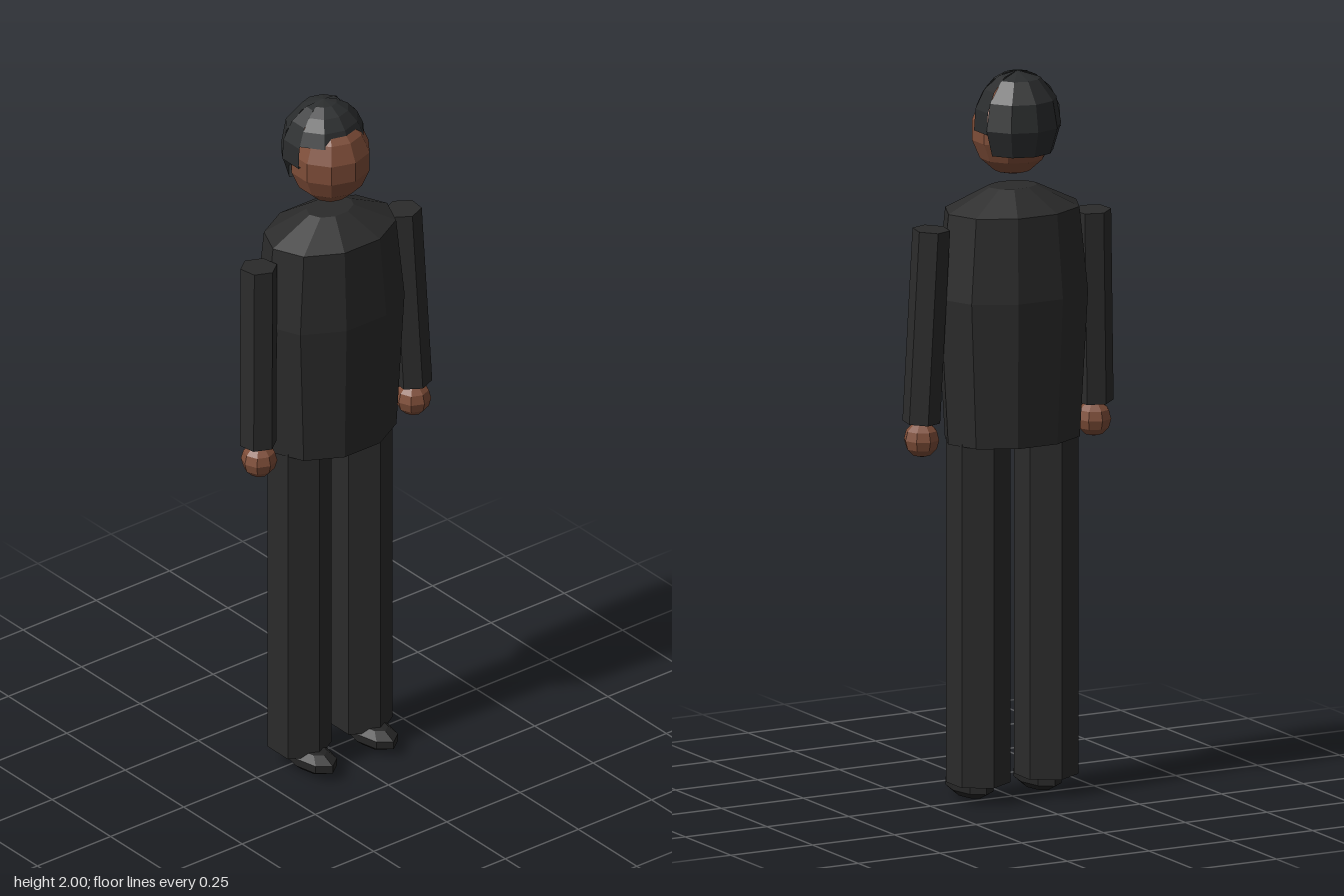
import * as THREE from 'three';
import { mergeGeometries } from 'three/addons/utils/BufferGeometryUtils.js';

const material = (name, color) => {
  const m = new THREE.MeshStandardMaterial({ color });
  m.name = name;
  return m;
};

// Faceted geometry: every face keeps its own normal
function facet(geometry) {
  const g = geometry.index ? geometry.toNonIndexed() : geometry;
  g.computeVertexNormals();
  return g;
}

// Ellipsoid with a vertex column facing the front
function ball(segments, rings, rx, ry, rz) {
  return facet(new THREE.SphereGeometry(1, segments, rings).rotateY(Math.PI / 2).scale(rx, ry, rz));
}

export function createModel() {
  const model = new THREE.Group();
  model.name = 'standingMan';
  const suit = material('charcoalSuit', 0x2b2b2b);
  const skin = material('brownSkin', 0x7e4d38);
  const hairColor = material('blackHair', 0x2a2c2d);
  hairColor.side = THREE.DoubleSide;
  const shoe = material('blackShoe', 0x252525);

  const add = (name, geometry, mat, x, y, z) => {
    const mesh = new THREE.Mesh(geometry, mat);
    mesh.name = name;
    mesh.position.set(x, y, z);
    model.add(mesh);
    return mesh;
  };

  // Jacket: ten-sided oval body with sloping shoulders
  const profile = [[0, 0.99], [0.196, 0.99], [0.22, 1.39], [0.195, 1.62], [0.07, 1.68], [0, 1.68]]
    .map(([r, y]) => new THREE.Vector2(r, y));
  const torso = new THREE.LatheGeometry(profile, 10, Math.PI / 10).scale(1, 1, 0.745);
  add('jacket', facet(torso), suit, 0, 0, 0);

  // Head
  add('head', ball(10, 7, 0.113, 0.126, 0.112), skin, 0, 1.836, 0);

  // Hair: ten wedges, cut high over the face, lower at the temples and nape
  const cuts = [71, 71, 98, 125, 125];
  const wedges = [];
  for (let k = 0; k < 10; k++) {
    const cut = THREE.MathUtils.degToRad(cuts[k < 5 ? k : 9 - k]);
    const points = [new THREE.Vector2(0, Math.cos(cut))];
    for (let i = 4; i >= 0; i--) {
      const a = cut * i / 4;
      points.push(new THREE.Vector2(Math.sin(a), Math.cos(a)));
    }
    wedges.push(new THREE.LatheGeometry(points, 1, k * Math.PI / 5, Math.PI / 5));
  }
  add('hair', facet(mergeGeometries(wedges).scale(0.12, 0.14, 0.115)), hairColor, 0, 1.86, -0.028);

  // Limbs, mirrored on both sides
  for (const side of [1, -1]) {
    const label = side > 0 ? 'left' : 'right';

    // Sleeve: six-sided tube leaning outward and forward
    const top = new THREE.Vector3(side * 0.246, 1.585, 0.003);
    const end = new THREE.Vector3(side * 0.265, 1.055, 0.024);
    const sleeve = new THREE.CylinderGeometry(0.051, 0.051, top.distanceTo(end), 6);
    sleeve.rotateY(-side * 0.14);
    const middle = top.clone().add(end).multiplyScalar(0.5);
    const arm = add(label + 'Sleeve', facet(sleeve), suit, middle.x, middle.y, middle.z);
    arm.quaternion.setFromUnitVectors(new THREE.Vector3(0, 1, 0), top.clone().sub(end).normalize());

    add(label + 'Hand', ball(8, 6, 0.049, 0.049, 0.049), skin, side * 0.263, 1.007, 0.026);

    // Trouser leg: straight six-sided column
    const leg = new THREE.CylinderGeometry(0.086, 0.086, 0.945, 6);
    add(label + 'TrouserLeg', facet(leg), suit, side * 0.104, 0.5275, 0);

    add(label + 'Shoe', ball(8, 5, 0.054, 0.035, 0.099), shoe, side * 0.104, 0.04, 0.048);
  }

  return model;
}
